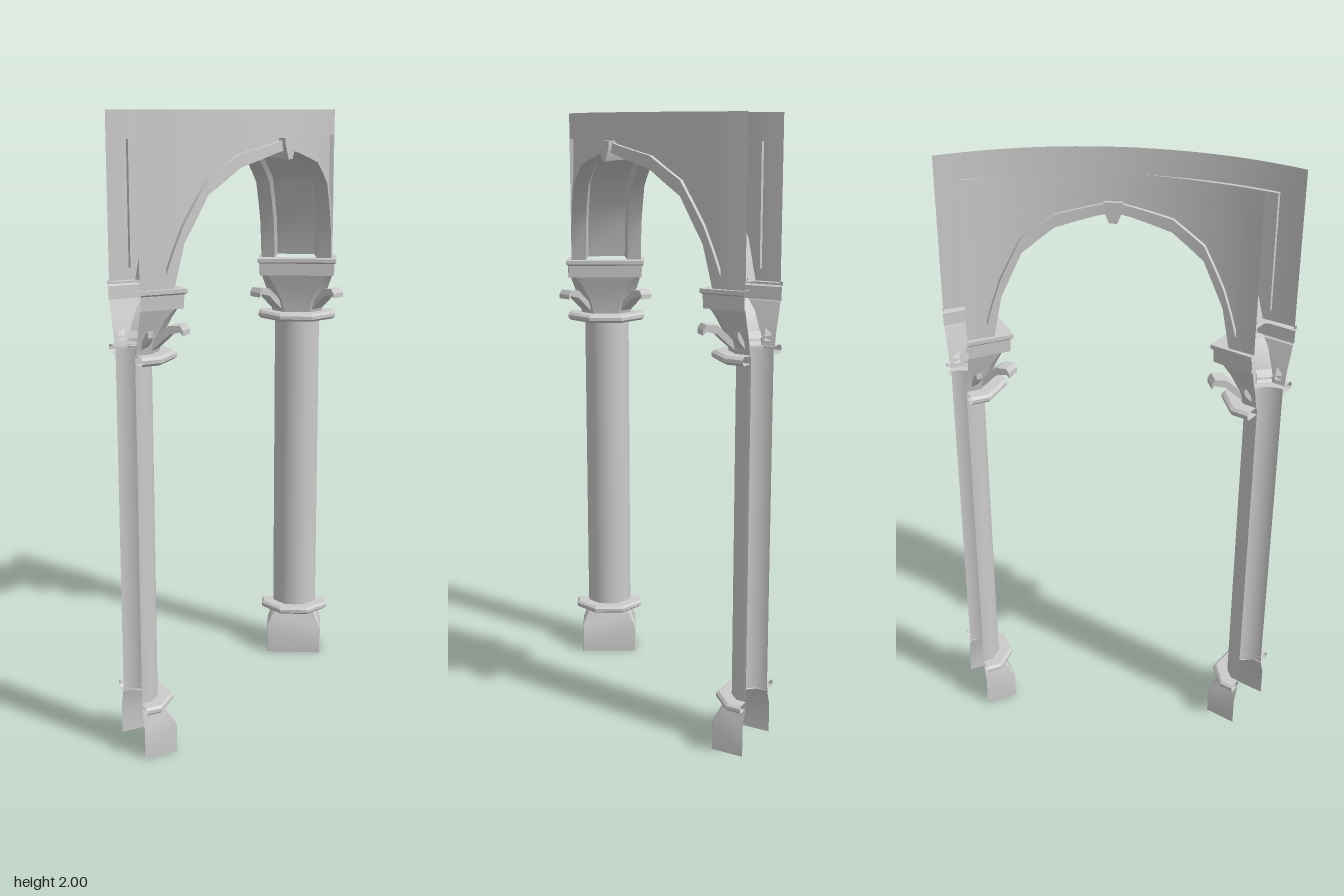
import * as THREE from 'three';
import { toCreasedNormals } from 'three/addons/utils/BufferGeometryUtils.js';

const mat = new THREE.MeshStandardMaterial({ color: 0xcccccc, side: THREE.DoubleSide });
const CX = -0.5, CZ = -0.793; // centre of the curved plan
const HALF = 30;              // half of the bay, in degrees

// Skin rows of points into a surface, keeping hard edges sharp
function skin(name, rows, closed = false) {
  const n = rows[0].length, idx = [], last = closed ? n : n - 1;
  for (let i = 0; i < rows.length - 1; i++) {
    for (let j = 0; j < last; j++) {
      const k = (j + 1) % n;
      const a = i * n + j, b = i * n + k, c = (i + 1) * n + k, d = (i + 1) * n + j;
      idx.push(a, b, c, a, c, d);
    }
  }
  const g = new THREE.BufferGeometry();
  g.setAttribute('position', new THREE.Float32BufferAttribute(rows.flat(2), 3));
  g.setIndex(idx);
  const mesh = new THREE.Mesh(toCreasedNormals(g, 0.5), mat);
  mesh.name = name;
  return mesh;
}

// Bay coordinates: u degrees from the crown, height y, plan radius r
function bend(u, y, r) {
  const t = THREE.MathUtils.degToRad(u + HALF);
  return [CX + r * Math.sin(t), y, CZ + r * Math.cos(t)];
}

function interp(table, u) {
  const a = Math.abs(u);
  for (let i = 1; i < table.length; i++) {
    const [u0, y0] = table[i - 1], [u1, y1] = table[i];
    if (a <= u1) return y0 + (y1 - y0) * (a - u0) / (u1 - u0);
  }
  return table[table.length - 1][1];
}

const archEdge = [[0, 1.88], [3.5, 1.868], [11.6, 1.832], [18.1, 1.757], [22.5, 1.62], [24.3, 1.49]];
const panelEdge = [[0, 1.912], [3.5, 1.9], [11.6, 1.872], [18.1, 1.803], [22.3, 1.685], [24.3, 1.6], [25.7, 1.53]];
const steps = [0, 3.5, 7.5, 11.6, 15, 18.1, 20.5, 22.5, 24.3];
const mirrored = list => [...list.slice(1).reverse().map(u => -u), ...list];

// One curved spandrel wall with a sunk panel above the arch
function spandrel(name, r, sunk) {
  const row = (u, rp) => {
    const lo = interp(archEdge, u), p = Math.min(interp(panelEdge, u), 1.912);
    return [[2, r], [1.915, r], [1.915, rp], [p, rp], [p, r], [lo, r]].map(([y, q]) => bend(u, y, q));
  };
  const inner = mirrored([...steps, 25.7]).map(u => row(u, sunk));
  const side = s => [25.7, 28, 30].map(u => row(s * u, r));
  return skin(name, [...side(-1).reverse(), ...inner, ...side(1)]);
}

// Underside of the arch, with a shallow channel between two edge bands
function soffit() {
  const section = [[1.125, 0], [1.075, 0], [1.065, 1], [0.935, 1], [0.925, 0], [0.878, 0]];
  return skin('archSoffit', mirrored(steps).map(u => section.map(([r, k]) =>
    bend(u * (1 + 0.02 * k), interp(archEdge, u) + 0.014 * k, r))));
}

// Waisted keystone rib running from wall to wall across the crown
function keystone() {
  const rows = [[1.137, 0.03, 1.85], [1.07, 0.027, 1.855], [1.0, 0.01, 1.875],
    [0.93, 0.027, 1.855], [0.866, 0.03, 1.85]].map(([r, w, y]) => {
    const d = THREE.MathUtils.radToDeg(w / r);
    return [[-d, 1.915], [-d, 1.895], [-d * 0.4, y], [d * 0.4, y], [d, 1.895], [d, 1.915]]
      .map(([u, h]) => bend(u, h, r));
  });
  // pinch the two end sections shut
  const cap = row => row.map(() => [0, 1, 2].map(k => row.reduce((s, p) => s + p[k], 0) / row.length));
  return skin('keystone', [cap(rows[0]), ...rows, cap(rows[4])], true);
}

// Half of a square or cut-cornered block, open at the end of the bay;
// each entry is reach along the bay, half depth, share of the side before the cut, height
const halfBlock = (name, profile) => skin(name, profile.map(([w, h, c, y]) => [
  [0, y, h], [w * c, y, h], [w, y, h * c], [w, y, -h * c], [w * c, y, -h], [0, y, -h]]));

// Curling leaf under the abacus
function leaf(angle, width, path) {
  const dir = new THREE.Vector2(Math.cos(angle), Math.sin(angle));
  const rows = path.map(([d, y, t]) => [[-1, 1], [1, 1], [1, -1], [-1, -1]].map(([s, v]) => [
    dir.x * d - dir.y * s * width, y + v * t, dir.y * d + dir.x * s * width]));
  return skin('capitalLeaf', rows, true);
}

function halfColumn(name) {
  const g = new THREE.Group();
  g.name = name;
  g.add(halfBlock('plinth', [
    [0.11, 0.1, 0.98, 0], [0.11, 0.1, 0.98, 0.1], [0.088, 0.085, 0.9, 0.145], [0.085, 0.083, 0.85, 0.16]]));
  g.add(halfBlock('baseRing', [
    [0.08, 0.08, 0.42, 0.155], [0.112, 0.114, 0.42, 0.155], [0.12, 0.122, 0.42, 0.162],
    [0.12, 0.122, 0.42, 0.173], [0.112, 0.114, 0.42, 0.18], [0.078, 0.078, 0.42, 0.18]]));
  const shaft = new THREE.Mesh(new THREE.LatheGeometry(
    [new THREE.Vector2(0.08, 0.16), new THREE.Vector2(0.08, 1.29)], 16, 0, Math.PI), mat);
  shaft.name = 'shaft';
  g.add(shaft);
  g.add(halfBlock('neckRing', [
    [0.08, 0.08, 0.42, 1.27], [0.135, 0.128, 0.42, 1.27], [0.145, 0.137, 0.42, 1.278],
    [0.145, 0.137, 0.42, 1.289], [0.135, 0.128, 0.42, 1.297], [0.08, 0.08, 0.42, 1.297]]));
  g.add(halfBlock('capitalBell', [
    [0.092, 0.088, 0.5, 1.295], [0.1, 0.096, 0.55, 1.34], [0.118, 0.115, 0.7, 1.4], [0.13, 0.125, 0.85, 1.435]]));
  g.add(halfBlock('abacus', [
    [0.115, 0.115, 0.9, 1.433], [0.137, 0.13, 0.98, 1.433], [0.139, 0.132, 0.98, 1.475],
    [0.146, 0.138, 0.98, 1.48], [0.146, 0.138, 0.98, 1.492], [0.09, 0.1, 0.9, 1.492]]));
  // corner leaves and smaller face leaves
  for (const s of [-1, 1]) {
    g.add(leaf(s * 0.82, 0.026, [[0.09, 1.31, 0.01], [0.12, 1.34, 0.014], [0.155, 1.372, 0.013],
      [0.19, 1.378, 0.01], [0.2, 1.365, 0.008], [0.2, 1.365, 0]]));
    g.add(leaf(s * 1.3, 0.01, [[0.09, 1.32, 0.008], [0.115, 1.35, 0.014], [0.125, 1.362, 0.01], [0.125, 1.362, 0]]));
  }
  return g;
}

export function createModel() {
  const model = new THREE.Group();
  model.name = 'curvedArcadeBay';
  model.add(spandrel('outerSpandrel', 1.125, 1.112));
  model.add(spandrel('innerSpandrel', 0.878, 0.891));
  model.add(soffit(), keystone());

  // half columns at both ends of the bay
  const left = halfColumn('rightHalfColumn');
  left.position.set(CX, 0, CZ + 1);
  const right = halfColumn('leftHalfColumn');
  const a = THREE.MathUtils.degToRad(2 * HALF);
  right.position.set(CX + Math.sin(a), 0, CZ + Math.cos(a));
  right.rotation.y = a;
  right.scale.x = -1;
  model.add(left, right);
  return model;
}
